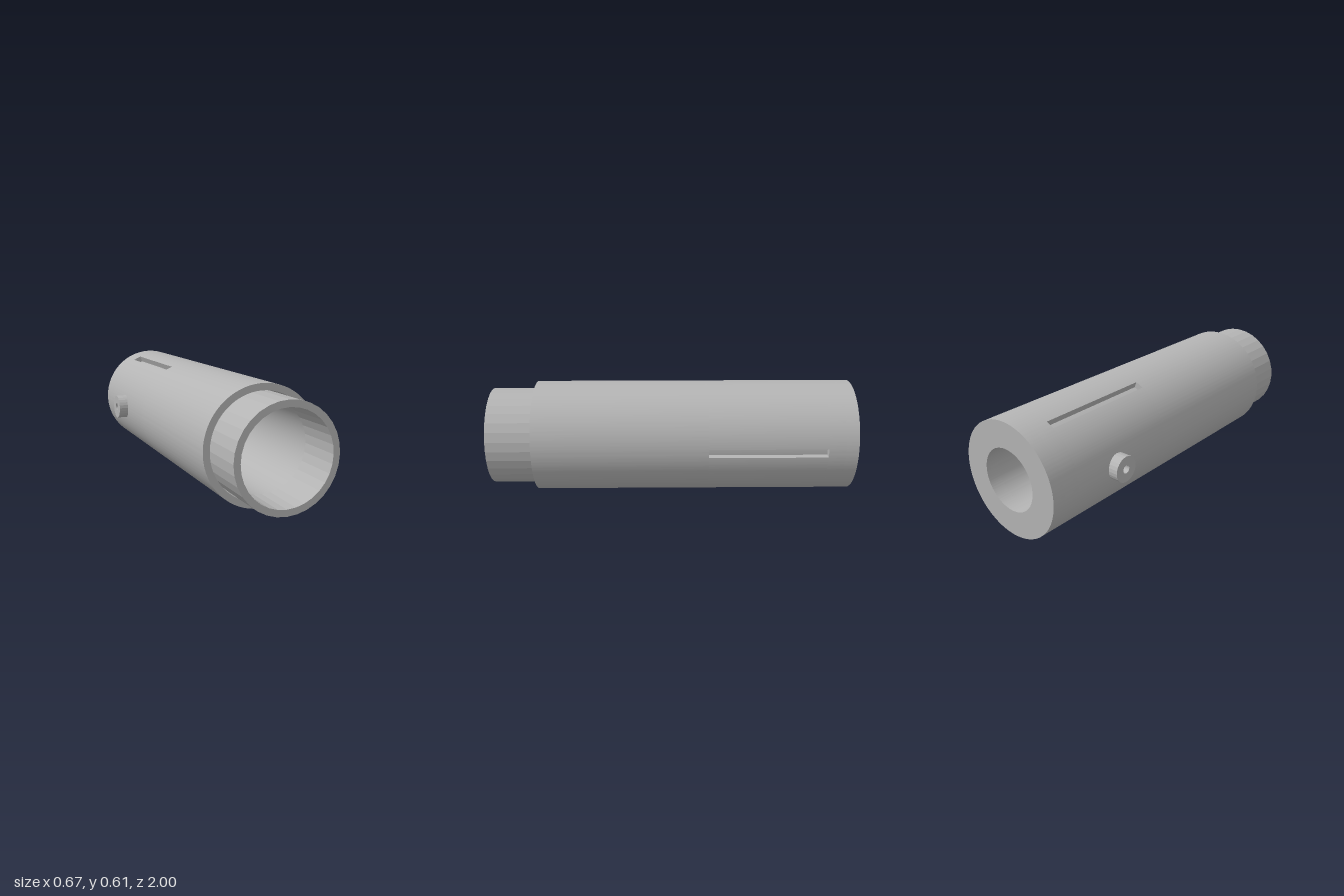
import * as THREE from 'three';
import { toCreasedNormals } from 'three/addons/utils/BufferGeometryUtils.js';

const CX = 0.025, CY = 0.308, R = 0.307, BORE = 0.272;
const TAU = Math.PI * 2;

export function createModel() {
  const model = new THREE.Group();
  const grey = new THREE.MeshStandardMaterial({ color: 0xb4b4b4 });
  grey.name = 'machinedGrey';

  function add(name, geometry, parent = model) {
    // coarse rounds stay faceted, fine rounds become smooth
    const mesh = new THREE.Mesh(toCreasedNormals(geometry, 0.1), grey);
    mesh.name = name;
    parent.add(mesh);
    return mesh;
  }

  // Turned part on the z axis from [radius, z] pairs
  function turned(points, sides) {
    const profile = points.map(([r, z]) => new THREE.Vector2(r, z));
    return new THREE.LatheGeometry(profile, sides).rotateX(Math.PI / 2);
  }

  function extrude(shape, z0, z1, curveSegments) {
    return new THREE.ExtrudeGeometry(shape, { depth: z1 - z0, bevelEnabled: false, curveSegments })
      .translate(0, 0, z0);
  }

  function ring(inner) {
    const shape = new THREE.Shape().absarc(0, 0, R, 0, TAU, false);
    shape.holes.push(new THREE.Path().absarc(0, 0, inner, 0, TAU, true));
    return shape;
  }

  const body = new THREE.Group();
  body.name = 'body';
  body.position.set(CX, CY, 0);
  model.add(body);

  // Outer shell: solid rings either side of the slotted length
  add('shellBackPlate', extrude(ring(0.166), -1, -0.93, 128), body);
  add('shellBack', extrude(ring(BORE), -0.93, -0.84, 128), body);
  add('shellFront', extrude(ring(BORE), -0.2, 0.75, 128), body);

  // Three wall segments leave three long slots between them
  const slots = [0, 116.4, 243.6].map(THREE.MathUtils.degToRad);
  const half = 0.076;
  slots.forEach((angle, i) => {
    const a0 = angle + half;
    const a1 = (i < 2 ? slots[i + 1] : TAU) - half;
    const shape = new THREE.Shape();
    shape.absarc(0, 0, R, a0, a1, false);
    shape.absarc(0, 0, BORE, a1, a0, true);
    add('shellWall' + (i + 1), extrude(shape, -0.84, -0.2, 48), body);
  });

  // Faceted collar that sticks out of the front
  add('collar', turned([
    [0.268, 0.7], [0.268, 1], [0.234, 1], [0.234, 0.755],
  ], 32), body);

  // Smooth inner sleeve with a stepped bore
  add('innerSleeve', turned([
    [0.166, -0.93], [0.266, -0.93], [0.266, 0.755], [0.234, 0.755],
    [0.234, 0], [0.166, 0], [0.166, -0.93],
  ], 128), body);

  // Plug closing the bore, with a shallow recess in front
  add('plug', turned([
    [0, -0.12], [0.166, -0.12], [0.166, -0.03], [0.159, -0.02],
    [0.106, -0.02], [0.106, -0.06], [0, -0.06],
  ], 128), body);

  // Small side port with a blind hole
  const port = add('sidePort', new THREE.LatheGeometry([
    [0.07, 0], [0.07, 0.063], [0.022, 0.063], [0.022, 0.012], [0, 0.012],
  ].map(([r, h]) => new THREE.Vector2(r, h)), 24).rotateZ(Math.PI / 2));
  port.position.set(-0.271, CY, -0.565);

  return model;
}
